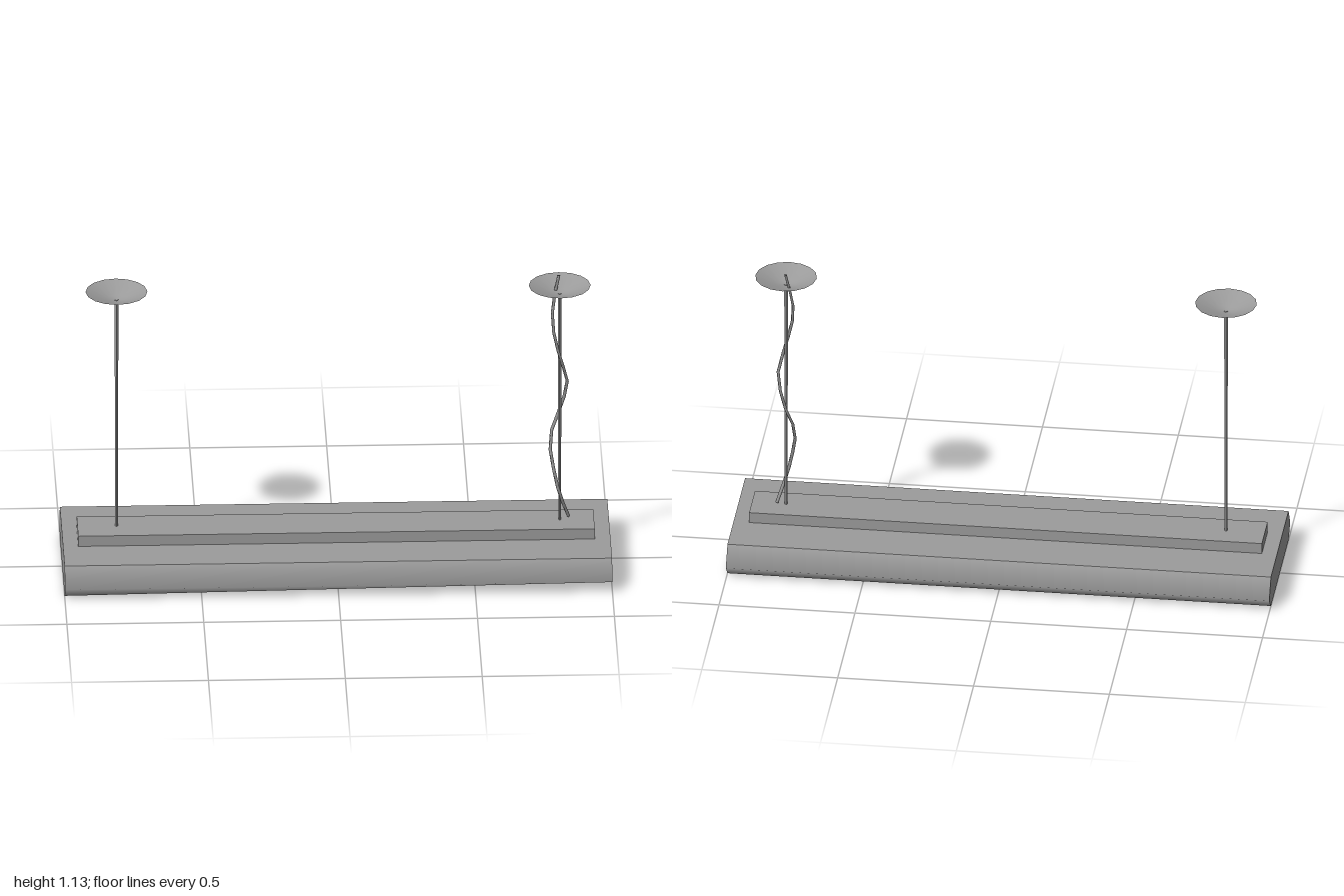
import * as THREE from 'three';
import { ConvexGeometry } from 'three/addons/geometries/ConvexGeometry.js';

const material = new THREE.MeshStandardMaterial({ color: 0x9c9c9c });
const flatMaterial = new THREE.MeshStandardMaterial({ color: 0x9c9c9c, flatShading: true });
const thinMaterial = new THREE.MeshStandardMaterial({ color: 0x9c9c9c, side: THREE.DoubleSide });

function add(parent, name, geometry, x = 0, y = 0, z = 0, mat = material) {
  const mesh = new THREE.Mesh(geometry, mat);
  mesh.name = name;
  mesh.position.set(x, y, z);
  parent.add(mesh);
  return mesh;
}

// Long six-sided housing, with its lower front corner cut away at the left end
function housingGeometry() {
  const profile = [[0.255, 0], [-0.255, 0], [-0.305, 0.047], [-0.255, 0.12], [0.255, 0.12], [0.305, 0.047]];
  const section = (x, points) => points.map(([z, y]) => new THREE.Vector3(x, y, z));
  const geometry = new ConvexGeometry([...section(-1, profile), ...section(1, profile.slice(1))]);
  // Soften the ridge along each long side
  const { position, normal } = geometry.attributes;
  for (let i = 0; i < position.count; i++) {
    const z = position.getZ(i);
    if (Math.abs(z) > 0.3 && Math.abs(normal.getZ(i)) > 0.5) normal.setXYZ(i, 0, 0, Math.sign(z));
  }
  return geometry;
}

// Suspension rod with an open, shallow ceiling canopy and two small clips
function suspension(name, x) {
  const group = new THREE.Group();
  group.name = name;
  group.position.set(x, 0, 0.003);
  add(group, 'rod', new THREE.CylinderGeometry(0.007, 0.005, 0.913, 4), 0, 0.6165, 0, flatMaterial);
  const bowl = [[0, 1.07], [0.035, 1.075], [0.113, 1.105]].map(([r, y]) => new THREE.Vector2(r, y));
  add(group, 'canopy', new THREE.LatheGeometry(bowl, 16), 0, 0, 0, thinMaterial);
  for (const side of [-1, 1]) {
    const clip = add(group, 'canopyClip', new THREE.CylinderGeometry(0.004, 0.008, 0.013, 6), side * 0.08, 1.084, 0);
    clip.rotation.z = side * 0.4;
  }
  return group;
}

export function createModel() {
  const model = new THREE.Group();
  model.name = 'pendantLight';

  add(model, 'housing', housingGeometry());
  add(model, 'topPlate', new THREE.BoxGeometry(1.887, 0.041, 0.168), -0.001, 0.1405, 0.004);

  model.add(suspension('rightSuspension', -0.802), suspension('leftSuspension', 0.817));

  // Power cable winding loosely round the left rod
  const path = new THREE.CatmullRomCurve3([
    [0.85, 0.17, -0.006], [0.815, 0.28, 0.03], [0.793, 0.38, 0.015], [0.782, 0.48, -0.018],
    [0.815, 0.58, -0.036], [0.845, 0.71, -0.01], [0.815, 0.83, 0.022], [0.79, 0.96, 0.003],
    [0.8, 1.06, -0.022], [0.815, 1.13, -0.03],
  ].map((p) => new THREE.Vector3(...p)));
  add(model, 'powerCable', new THREE.TubeGeometry(path, 14, 0.006, 4), 0, 0, 0, thinMaterial);

  return model;
}
